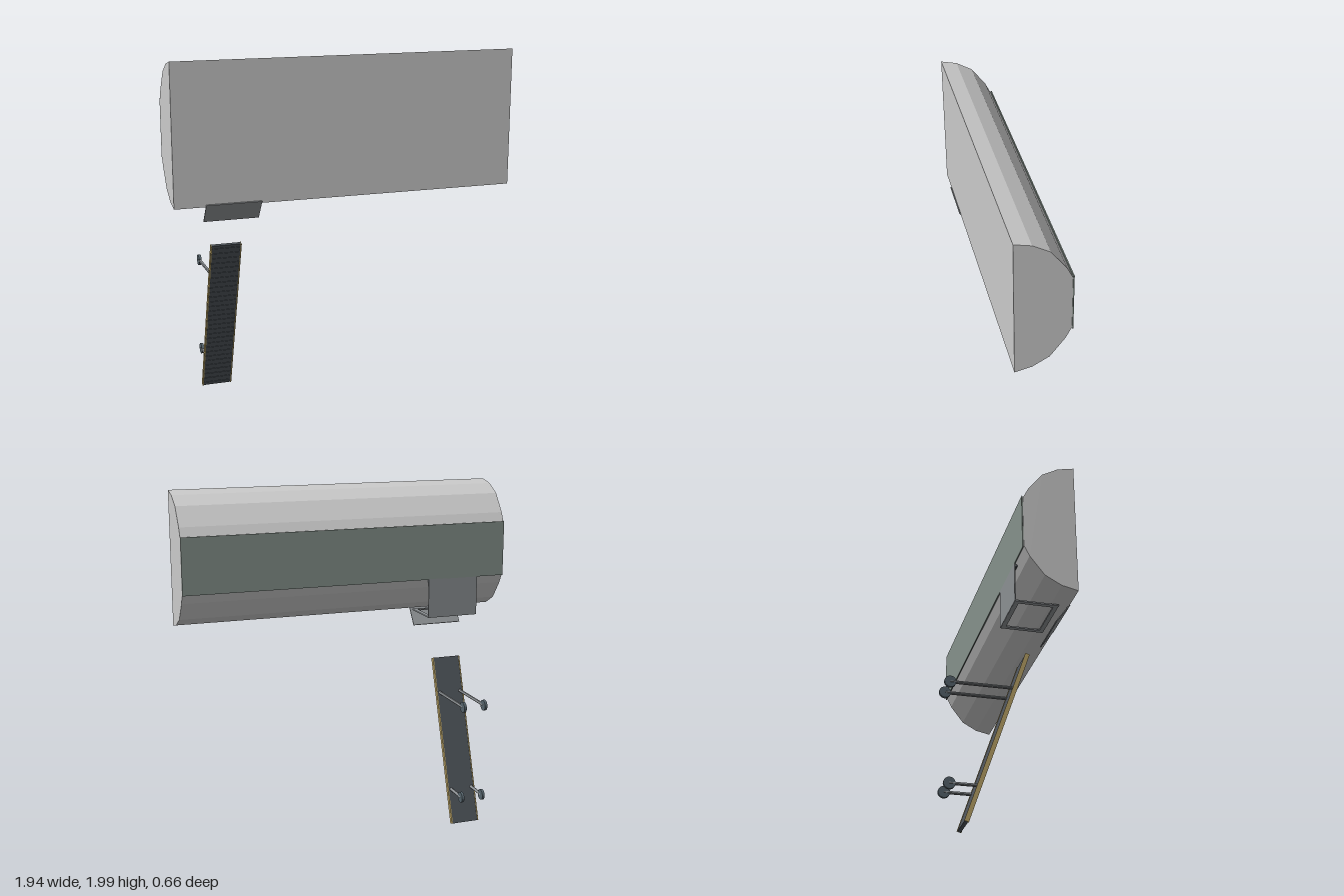
import * as THREE from 'three';

const material = (color) =>
  new THREE.MeshStandardMaterial({ color, flatShading: true, side: THREE.DoubleSide });
const grey = material(0xcccccc);
const plateGreen = material(0x87938c);
const steel = material(0x8d9194);
const dark = material(0x4c5258);
const tan = material(0xb8a266);
const wheelBlue = material(0x55636b);

function add(parent, name, geometry, mat, x = 0, y = 0, z = 0) {
  const mesh = new THREE.Mesh(geometry, mat);
  mesh.name = name;
  mesh.position.set(x, y, z);
  parent.add(mesh);
  return mesh;
}
const box = (w, h, d) => new THREE.BoxGeometry(w, h, d);

// Half-barrel body: a (z, y) section swept along x
function buildBody(parent) {
  const upper = [[0.32, 2.0], [0.23, 1.98], [0.14, 1.93], [0.06, 1.825], [0.03, 1.765]];
  const lower = upper.map(([z, y]) => [z, 3.23 - y]).reverse();
  const section = new THREE.Shape([...upper, ...lower].map(([z, y]) => new THREE.Vector2(z, y)));
  const geometry = new THREE.ExtrudeGeometry(section, { depth: 1.935, bevelEnabled: false });
  geometry.rotateY(-Math.PI / 2);
  add(parent, 'body', geometry, grey, 0.967);
  add(parent, 'backPlate', box(1.935, 0.32, 0.006), plateGreen, 0, 1.615, 0.026);
}

// Open-sided hatch housing with a framed floor opening and a tilted flap
function buildHatch(parent) {
  const hatch = new THREE.Group();
  hatch.name = 'hatch';
  hatch.position.x = -0.645;
  add(hatch, 'hatchBack', box(0.31, 0.23, 0.006), steel, 0, 1.343, 0.026);

  const frame = new THREE.Shape();
  frame.moveTo(-0.155, 0.025).lineTo(0.155, 0.025).lineTo(0.155, 0.265).lineTo(-0.155, 0.265);
  const hole = new THREE.Path();
  hole.moveTo(-0.13, 0.05).lineTo(-0.13, 0.24).lineTo(0.13, 0.24).lineTo(0.13, 0.05);
  frame.holes.push(hole);
  const floor = new THREE.ExtrudeGeometry(frame, { depth: 0.008, bevelEnabled: false });
  floor.rotateX(Math.PI / 2);
  add(hatch, 'hatchFloor', floor, steel, 0, 1.234, 0);

  const hinge = new THREE.CylinderGeometry(0.007, 0.007, 0.31, 8).rotateZ(Math.PI / 2);
  add(hatch, 'hatchHinge', hinge, dark, 0, 1.443, 0.036);

  const flap = add(hatch, 'flap', box(0.305, 0.132, 0.006), steel, 0, 1.188, 0.288);
  flap.rotation.x = Math.atan2(0.078, 0.108);
  parent.add(hatch);
}

// Leaning ramp with tan side rails and fine treads
function buildRamp(parent) {
  const ramp = new THREE.Group();
  ramp.name = 'ramp';
  ramp.position.set(-0.643, 0.484, -0.055);
  ramp.rotation.x = Math.atan2(0.325, 0.95);
  add(ramp, 'rampBoard', box(0.166, 1.0, 0.018), dark);
  for (const side of [-1, 1]) add(ramp, 'sideRail', box(0.006, 1.0, 0.024), tan, side * 0.084);
  const treads = 30;
  for (let i = 0; i < treads; i++) {
    add(ramp, 'tread', box(0.16, 0.006, 0.004), dark, 0, -0.48 + (0.96 * i) / (treads - 1), 0.01);
  }
  parent.add(ramp);
}

// Pairs of horizontal struts ending in small wheels
function buildStruts(parent) {
  for (const [y, start] of [[0.76, 0.03], [0.208, -0.16]]) {
    for (const x of [-0.708, -0.577]) {
      const length = start + 0.3;
      const rod = new THREE.CylinderGeometry(0.009, 0.009, length, 10).rotateX(Math.PI / 2);
      add(parent, 'strut', rod, steel, x, y, start - length / 2);
      const wheel = new THREE.CylinderGeometry(0.031, 0.031, 0.015, 20).rotateZ(Math.PI / 2);
      add(parent, 'wheel', wheel, wheelBlue, x, y, -0.3);
    }
  }
}

export function createModel() {
  const model = new THREE.Group();
  model.name = 'model';
  buildBody(model);
  buildHatch(model);
  buildRamp(model);
  buildStruts(model);
  return model;
}
